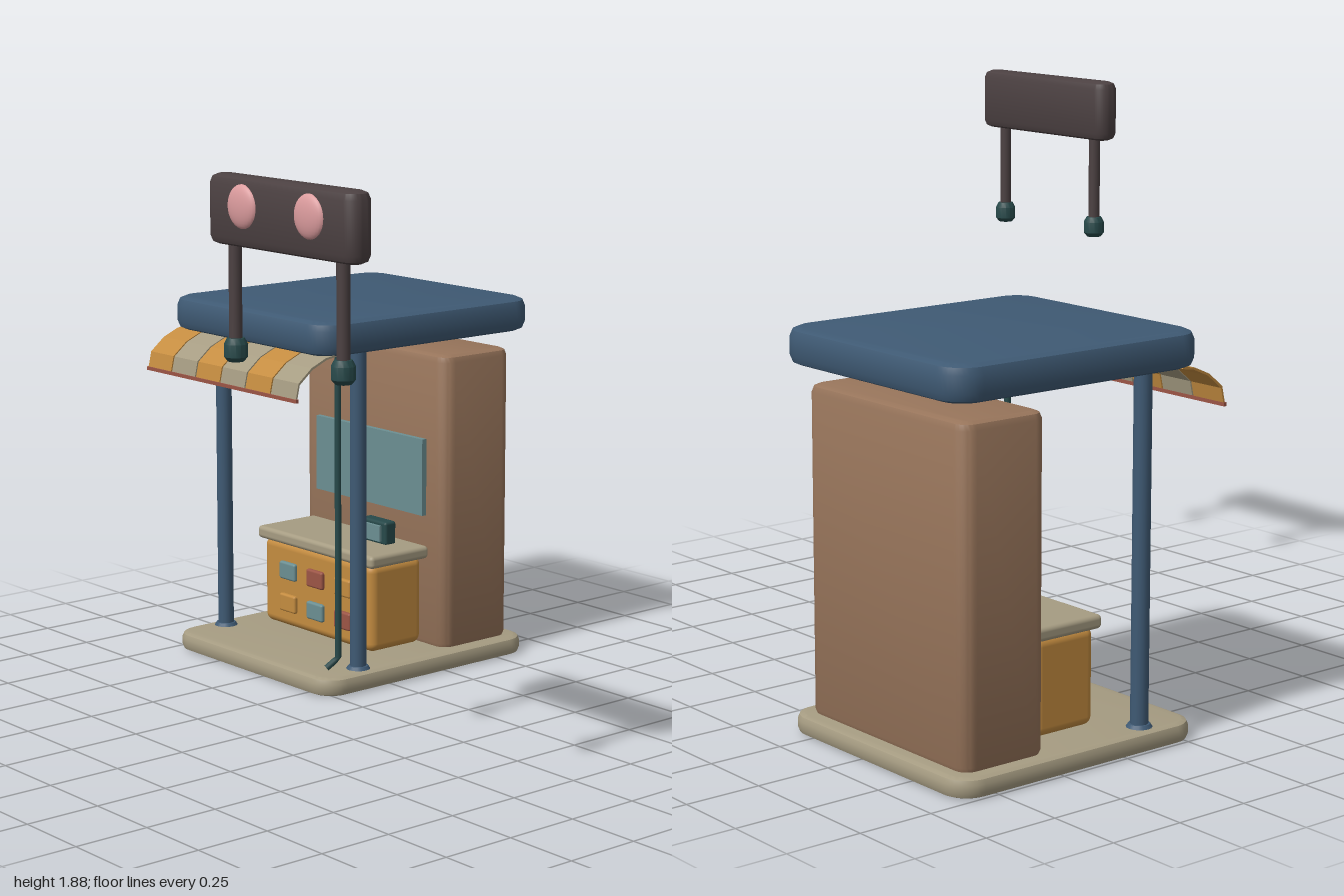
import * as THREE from 'three';
import { toCreasedNormals } from 'three/addons/utils/BufferGeometryUtils.js';
import { RoundedBoxGeometry } from 'three/addons/geometries/RoundedBoxGeometry.js';

function paint(name, color, side = THREE.FrontSide) {
  const m = new THREE.MeshStandardMaterial({ color, side });
  m.name = name;
  return m;
}

// Upright block with rounded plan corners and bevelled top and bottom rims
function slab(w, h, d, r, b) {
  const x = w / 2 - b, y = d / 2 - b, q = r - b;
  const s = new THREE.Shape();
  s.moveTo(-x + q, -y);
  s.lineTo(x - q, -y);
  s.absarc(x - q, -y + q, q, -Math.PI / 2, 0);
  s.absarc(x - q, y - q, q, 0, Math.PI / 2);
  s.absarc(-x + q, y - q, q, Math.PI / 2, Math.PI);
  s.absarc(-x + q, -y + q, q, Math.PI, Math.PI * 1.5);
  const g = new THREE.ExtrudeGeometry(s, {
    depth: h - 2 * b, bevelThickness: b, bevelSize: b, bevelSegments: 2, curveSegments: 5,
  });
  g.translate(0, 0, b - h / 2);
  g.rotateX(-Math.PI / 2);
  return toCreasedNormals(g, 0.75);
}

export function createModel() {
  const root = new THREE.Group();
  root.name = 'kioskAndSign';
  const navy = paint('navy', 0x3f5a74);
  const brown = paint('brown', 0x98755b);
  const cream = paint('cream', 0xa69c82);
  const orange = paint('orange', 0xc48c40);
  const teal = paint('teal', 0x6c8f92);
  const red = paint('brickRed', 0x9c5546);
  const green = paint('darkGreen', 0x27494a);
  const dark = paint('charcoal', 0x4c4142);
  const pink = paint('pink', 0xdc9c9e);

  const kiosk = new THREE.Group();
  kiosk.name = 'kiosk';
  const sign = new THREE.Group();
  sign.name = 'sign';
  root.add(kiosk, sign);

  function add(parent, name, geometry, material, x, y, z) {
    const m = new THREE.Mesh(geometry, material);
    m.name = name;
    m.position.set(x, y, z);
    parent.add(m);
    return m;
  }

  // Base, back wall and roof
  const cx = -0.566;
  add(kiosk, 'base', slab(0.874, 0.064, 0.936, 0.09, 0.02), cream, cx, 0.032, -0.422);
  add(kiosk, 'backWall', slab(0.77, 1.05, 0.315, 0.05, 0.025), brown, cx, 0.577, -0.682);
  add(kiosk, 'roof', slab(0.874, 0.115, 0.96, 0.1, 0.03), navy, cx, 1.222, -0.426);
  add(kiosk, 'window', new THREE.BoxGeometry(0.58, 0.272, 0.02), teal, cx, 0.665, -0.515);

  // Front posts with foot flanges, and round ceiling lamps
  for (const side of [-1, 1]) {
    const x = cx + side * 0.37;
    add(kiosk, 'post', new THREE.CylinderGeometry(0.028, 0.028, 1.12, 16), navy, x, 0.62, -0.146);
    add(kiosk, 'postFoot', new THREE.CylinderGeometry(0.034, 0.042, 0.012, 16), navy, x, 0.069, -0.146);
    add(kiosk, 'ceilingLamp', new THREE.CylinderGeometry(0.048, 0.048, 0.014, 20), cream, cx + side * 0.285, 1.159, -0.212);
  }

  // Drain pipe with a kicked-out foot
  const pipe = new THREE.CurvePath();
  const pts = [[-0.228, 1.18, -0.084], [-0.228, 0.105, -0.084], [-0.245, 0.072, -0.045]]
    .map((p) => new THREE.Vector3(...p));
  pipe.add(new THREE.LineCurve3(pts[0], pts[1]));
  pipe.add(new THREE.LineCurve3(pts[1], pts[2]));
  add(kiosk, 'drainPipe', new THREE.TubeGeometry(pipe, 60, 0.011, 10), green, 0, 0, 0);

  // Curved striped awning with a trim along its lower edge
  const profile = [[-0.02, 1.17], [0.025, 1.163], [0.085, 1.137], [0.14, 1.092], [0.153, 1.035]];
  const section = new THREE.Shape();
  profile.forEach(([z, y], i) => (i ? section.lineTo(z, y) : section.moveTo(z, y)));
  [...profile].reverse().forEach(([z, y]) => section.lineTo(z - 0.005, y - 0.006));
  const pitch = 0.1373;
  for (let i = 0; i < 6; i++) {
    const g = new THREE.ExtrudeGeometry(section, { depth: pitch - 0.006, bevelEnabled: false });
    g.rotateY(-Math.PI / 2);
    add(kiosk, 'awningStripe', g, i % 2 ? cream : orange, -0.98 + (i + 1) * pitch - 0.003, 0, 0);
  }
  add(kiosk, 'awningTrim', new THREE.BoxGeometry(0.826, 0.012, 0.011), red, cx - 0.001, 1.034, 0.151);

  // Counter with its top and display tiles
  add(kiosk, 'counter', new RoundedBoxGeometry(0.6, 0.312, 0.235, 4, 0.03), orange, cx, 0.232, -0.383);
  add(kiosk, 'counterTop', new RoundedBoxGeometry(0.636, 0.045, 0.265, 3, 0.015), cream, cx, 0.403, -0.383);
  const tiles = [[teal, red, orange], [orange, teal, red]];
  tiles.forEach((row, r) => row.forEach((mat, c) => {
    add(kiosk, 'counterTile', new RoundedBoxGeometry(0.088, 0.064, 0.026, 2, 0.008), mat,
      -0.718 + c * 0.152, 0.285 - r * 0.118, -0.265);
  }));

  // Till on the counter
  add(kiosk, 'till', new RoundedBoxGeometry(0.136, 0.084, 0.05, 2, 0.01), green, -0.422, 0.463, -0.43);
  add(kiosk, 'tillScreen', new THREE.BoxGeometry(0.094, 0.056, 0.012), teal, -0.422, 0.463, -0.4);

  // Sign board on two legs, with domed lamps on its face
  add(sign, 'signBoard', slab(0.672, 0.206, 0.094, 0.046, 0.026), dark, 0.662, 1.772, 0.838);
  const footProfile = [[0, 0], [0.024, 0], [0.036, 0.014], [0.036, 0.052], [0.026, 0.07], [0, 0.07]]
    .map(([x, y]) => new THREE.Vector2(x, y));
  const foot = toCreasedNormals(new THREE.LatheGeometry(footProfile, 14), 0.5);
  for (const side of [-1, 1]) {
    const x = 0.661 + side * 0.246;
    add(sign, 'signLeg', new THREE.CylinderGeometry(0.02, 0.02, 0.31, 14), dark, x, 1.535, 0.84);
    add(sign, 'signFoot', foot, green, x, 1.324, 0.84);
    const lamp = add(sign, 'signLamp', new THREE.SphereGeometry(0.065, 24, 16), pink, 0.659 + side * 0.152, 1.791, 0.882);
    lamp.scale.z = 0.35;
  }
  return root;
}
